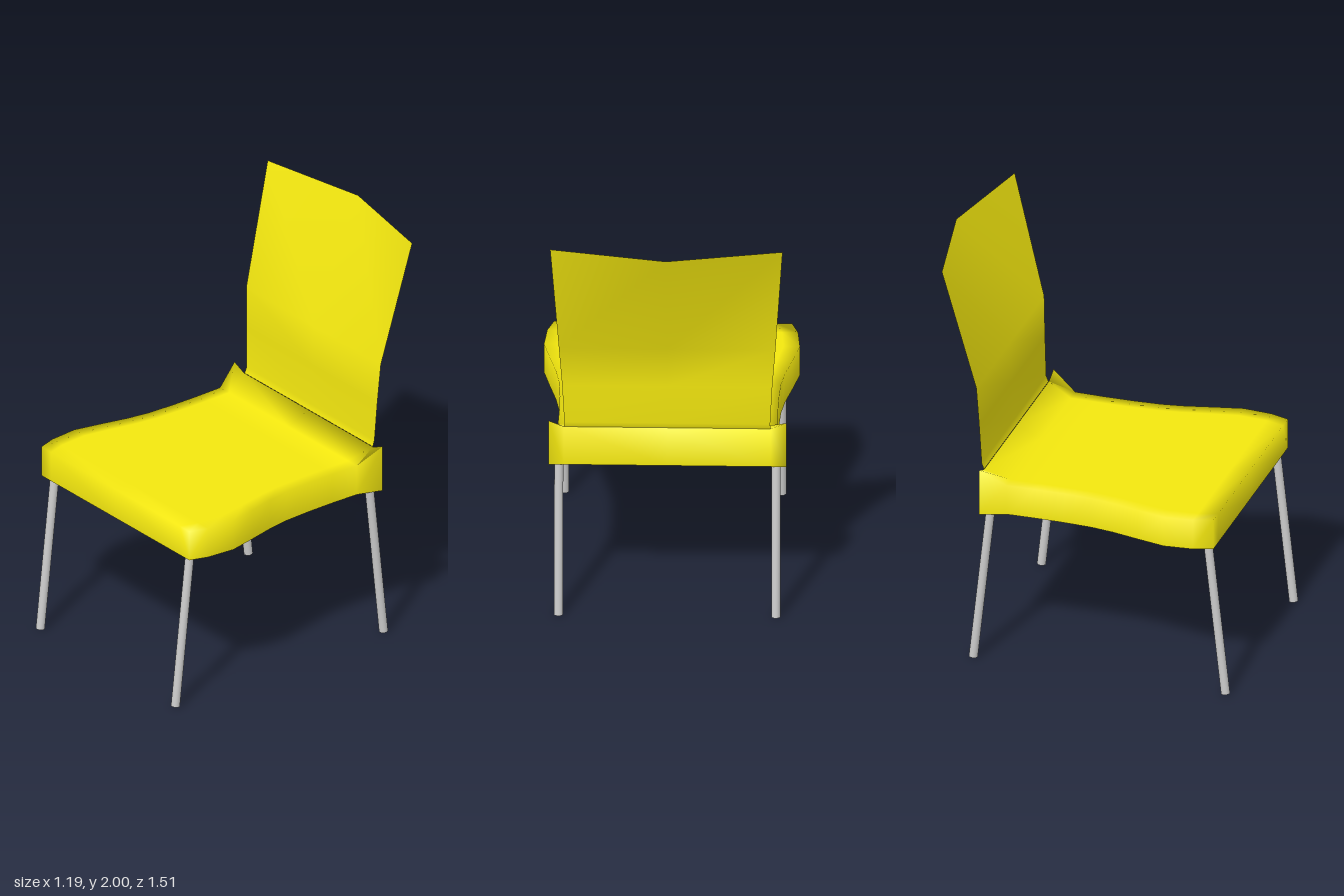
import * as THREE from 'three';
import { mergeVertices } from 'three/addons/utils/BufferGeometryUtils.js';

// Smooth surface through rows of points; coincident points are welded
function loft(rows) {
  const n = rows[0].length, index = [];
  const pts = rows.flat();
  const same = (a, b) => pts[a].every((v, k) => Math.abs(v - pts[b][k]) < 1e-6);
  const tri = (a, b, c) => {
    if (!same(a, b) && !same(b, c) && !same(a, c)) index.push(a, b, c);
  };
  for (let r = 0; r < rows.length - 1; r++) {
    for (let i = 0; i < n - 1; i++) {
      const a = r * n + i, b = a + 1, c = a + n, d = c + 1;
      tri(a, b, c);
      tri(b, d, c);
    }
  }
  let g = new THREE.BufferGeometry();
  g.setAttribute('position', new THREE.Float32BufferAttribute(pts.flat(), 3));
  g.setIndex(index);
  g = mergeVertices(g, 1e-4);
  g.computeVertexNormals();
  return g;
}

export function createModel() {
  const chair = new THREE.Group();
  chair.name = 'chair';
  const yellow = new THREE.MeshStandardMaterial({ color: 0xf5e90f, side: THREE.DoubleSide });
  const grey = new THREE.MeshStandardMaterial({ color: 0xcccccc });
  const add = (name, geometry, material) => {
    const mesh = new THREE.Mesh(geometry, material);
    mesh.name = name;
    chair.add(mesh);
    return mesh;
  };

  // Seat: waisted top sheet with a skirt on all four sides, open underneath
  const skirtY = 0.77, topY = 0.92;
  const stations = [ // z, half width, edge height, inner height
    [0.69, 0.555, topY, topY], [0.6, 0.585, topY, topY], [0.46, 0.597, topY, topY],
    [0.32, 0.566, topY, topY], [0.19, 0.535, topY, topY], [0.08, 0.518, topY, topY],
    [-0.06, 0.511, topY, topY], [-0.2, 0.51, topY, topY], [-0.34, 0.513, topY, topY],
    [-0.46, 0.555, 1.0, 0.97],
  ];
  const across = [-1, -0.87, 0, 0.87, 1];
  const row = ([z, w, edge, inner]) => [
    [-w, skirtY, z],
    ...across.map((u) => [u * w, Math.abs(u) === 1 ? edge : inner, z]),
    [w, skirtY, z],
  ];
  const hem = (station) => row(station).map(([x, , z]) => [x, skirtY, z]);
  add('seat', loft([hem(stations[0]), ...stations.map(row), hem(stations.at(-1))]), yellow);

  // Backrest: thin sheet, straight below and folding back along its centre above
  const backRows = [ // y, half width, z at edges, z at centre
    [0.97, 0.481, -0.461, -0.461], [1.0, 0.48, -0.472, -0.472],
    [1.2, 0.49, -0.481, -0.481], [1.4, 0.505, -0.49, -0.49], [2.0, 0.542, -0.647, -0.755],
  ];
  add('backrest', loft(backRows.map(([y, w, ze, zc]) =>
    [[-w, y, ze], [0, y, zc], [w, y, ze]]).reverse().map((r) => r.reverse())), yellow);

  // Legs: round tubes splayed forwards and backwards
  const up = new THREE.Vector3(0, 1, 0);
  const addLeg = (name, x, zFoot, zTop) => {
    const foot = new THREE.Vector3(x, 0.003, zFoot);
    const top = new THREE.Vector3(x, 0.82, zTop);
    const dir = top.clone().sub(foot);
    const leg = add(name, new THREE.CylinderGeometry(0.021, 0.021, dir.length(), 20), grey);
    leg.position.copy(foot).add(top).multiplyScalar(0.5);
    leg.quaternion.setFromUnitVectors(up, dir.normalize());
  };
  for (const [side, x] of [['Left', 0.507], ['Right', -0.507]]) {
    addLeg('front' + side + 'Leg', x, 0.734, 0.643);
    addLeg('rear' + side + 'Leg', x, -0.504, -0.415);
  }
  return chair;
}
